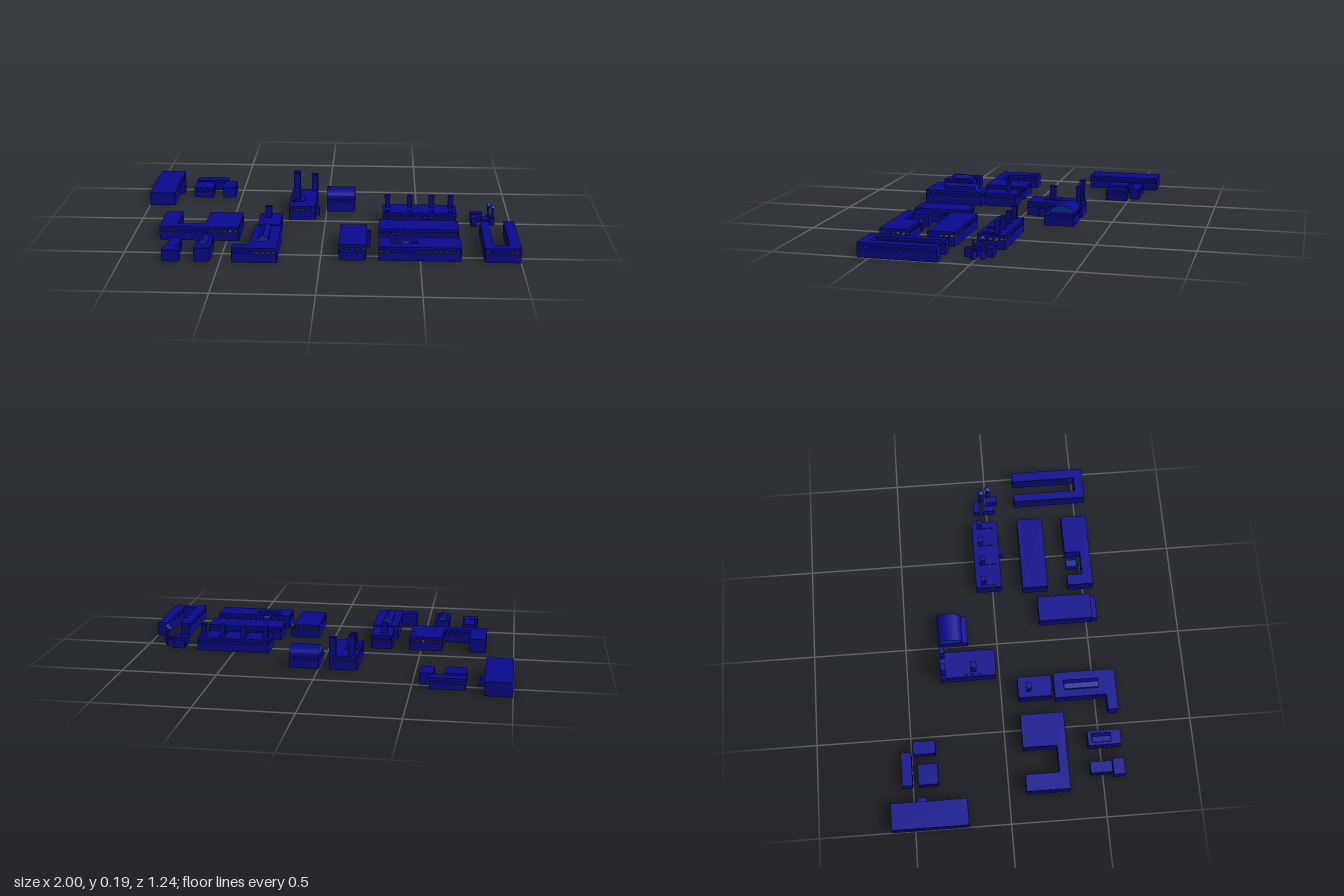
import * as THREE from 'three';
import { mergeGeometries } from 'three/addons/utils/BufferGeometryUtils.js';

const navy = new THREE.MeshStandardMaterial({ color: 0x0a0a90, side: THREE.DoubleSide, flatShading: true });
const blue = new THREE.MeshStandardMaterial({ color: 0x0d33a8, side: THREE.DoubleSide, flatShading: true });

export function createModel() {
  const model = new THREE.Group();

  function add(name, geometry, material = navy) {
    const mesh = new THREE.Mesh(geometry, material);
    mesh.name = name;
    model.add(mesh);
    return mesh;
  }

  // Solid block given by its extents
  function block(name, x0, x1, z0, z1, h, y0 = 0, material = navy) {
    const g = new THREE.BoxGeometry(x1 - x0, h - y0, z1 - z0);
    return add(name, g.translate((x0 + x1) / 2, (y0 + h) / 2, (z0 + z1) / 2), material);
  }

  // One wall with a row of open clerestory windows
  function wall(a, b, h, windowed) {
    const dx = b[0] - a[0], dz = b[1] - a[1], len = Math.hypot(dx, dz);
    const s = new THREE.Shape();
    s.moveTo(0, 0).lineTo(len, 0).lineTo(len, h).lineTo(0, h).closePath();
    if (windowed) {
      const n = Math.max(2, Math.round(len / 0.03)), pitch = len / n, top = h - 0.009;
      for (let i = 0; i < n; i++) {
        const c = (i + 0.5) * pitch, w = pitch * 0.3;
        const p = new THREE.Path();
        p.moveTo(c - w, top - 0.014).lineTo(c - w, top).lineTo(c + w, top).lineTo(c + w, top - 0.014).closePath();
        s.holes.push(p);
      }
    }
    return new THREE.ShapeGeometry(s).rotateY(Math.atan2(-dz, dx)).translate(a[0], 0, a[1]);
  }

  // Hollow hall: walls along a footprint, closed by a roof slab
  function hall(name, points, h, minWindowed = 0.1) {
    const walls = points.map((a, i) => {
      const b = points[(i + 1) % points.length];
      return wall(a, b, h - 0.006, Math.hypot(b[0] - a[0], b[1] - a[1]) >= minWindowed);
    });
    add(name + 'Walls', mergeGeometries(walls));
    const s = new THREE.Shape(points.map(([x, z]) => new THREE.Vector2(x, z)));
    const roof = new THREE.ExtrudeGeometry(s, { depth: 0.007, bevelEnabled: false });
    add(name + 'Roof', roof.rotateX(Math.PI / 2).translate(0, h, 0));
  }

  const rect = (x0, x1, z0, z1) => [[x0, z0], [x1, z0], [x1, z1], [x0, z1]];
  // U footprint, court opening to the back between xa and xb, as deep as zc
  const court = (x0, x1, z0, z1, xa, xb, zc) =>
    [[x0, z0], [xa, z0], [xa, zc], [xb, zc], [xb, z0], [x1, z0], [x1, z1], [x0, z1]];

  // Square chimney with a slim collar
  function chimney(x, z, h, w = 0.03, d = 0.026) {
    block('chimney', x - w / 2, x + w / 2, z - d / 2, z + d / 2, h, 0.06);
    block('chimneyCollar', x - w / 2 - 0.002, x + w / 2 + 0.002, z - d / 2 - 0.002, z + d / 2 + 0.002, h - 0.004, h - 0.01);
  }

  // Gabled roof lantern running along z
  function lantern(name, x0, x1, z0, z1, y0, eave, ridge) {
    const s = new THREE.Shape();
    s.moveTo(x0, y0).lineTo(x1, y0).lineTo(x1, eave).lineTo((x0 + x1) / 2, ridge).lineTo(x0, eave).closePath();
    const g = new THREE.ExtrudeGeometry(s, { depth: z1 - z0, bevelEnabled: false });
    add(name, g.translate(0, 0, z0), [blue, navy]);
  }

  // Rear left-hand corner: warehouse and sheds
  hall('warehouse', rect(-1, -0.86, -0.62, -0.22), 0.073, 0.2);
  block('warehousePorch', -0.86, -0.835, -0.48, -0.43, 0.045);
  hall('longShed', rect(-0.77, -0.59, -0.555, -0.5), 0.06);
  hall('squareShed', rect(-0.77, -0.66, -0.47, -0.365), 0.06);
  hall('sideShed', rect(-0.605, -0.535, -0.49, -0.37), 0.06);

  // Boiler house with three chimneys
  hall('boilerHouse', rect(-0.2, -0.055, -0.32, -0.02), 0.075);
  block('boilerPorch', -0.055, -0.035, -0.13, -0.085, 0.045);
  chimney(-0.172, -0.302, 0.185, 0.036, 0.024);
  chimney(-0.072, -0.302, 0.172, 0.034, 0.024);
  chimney(-0.16, -0.14, 0.15, 0.034, 0.03);
  block('boilerRoofStep', -0.19, -0.12, -0.19, -0.1, 0.08, 0.07);

  // Barrel-roofed hall
  hall('barrelHall', rect(0, 0.155, -0.32, -0.19), 0.075);
  block('barrelHallPorch', 0, 0.155, -0.19, -0.16, 0.055);
  const arch = new THREE.Shape();
  arch.moveTo(-0.065, 0);
  for (let i = 1; i <= 16; i++) {
    const a = Math.PI * (1 - i / 16);
    arch.lineTo(0.065 * Math.cos(a), 0.035 * Math.sin(a));
  }
  const barrel = new THREE.ExtrudeGeometry(arch, { depth: 0.155, bevelEnabled: false });
  add('barrelRoof', barrel.rotateY(Math.PI / 2).translate(0, 0.074, -0.255), [blue, navy]);

  // Furnace hall with four chimneys
  hall('furnaceHall', rect(0.31, 0.705, -0.09, 0.05), 0.073);
  block('furnacePorch', 0.515, 0.565, 0.05, 0.07, 0.045);
  for (const x of [0.336, 0.456, 0.573, 0.677]) {
    chimney(x, -0.048, 0.14, 0.028);
    block('furnaceVent', x - 0.012, x + 0.012, -0.03, 0.03, 0.078, 0.07);
  }

  // Small plant with two capped flues
  block('plantShed', 0.785, 0.85, -0.07, -0.035, 0.045);
  block('plantShed', 0.785, 0.82, -0.02, 0.045, 0.045);
  block('plantShed', 0.84, 0.875, 0, 0.065, 0.045);
  for (const [x, z] of [[0.88, -0.027], [0.9, 0.012]]) {
    add('flueBase', new THREE.CylinderGeometry(0.015, 0.015, 0.04, 16).translate(x, 0.02, z));
    add('flue', new THREE.CylinderGeometry(0.006, 0.006, 0.1, 12).translate(x, 0.05, z));
    add('flueCap', new THREE.ConeGeometry(0.017, 0.014, 16).translate(x, 0.106, z), blue);
  }

  // Right-hand works
  hall('assemblyHall', rect(0.29, 0.705, 0.165, 0.305), 0.075);
  hall('workshop', court(0.29, 0.705, 0.415, 0.555, 0.35, 0.485, 0.5), 0.073);
  block('courtHut', 0.41, 0.445, 0.42, 0.475, 0.05);
  block('courtHutRoof', 0.408, 0.447, 0.418, 0.477, 0.054, 0.05, blue);
  hall('courtyardHall', court(0.82, 1, 0.16, 0.56, 0.865, 0.945, 0.51), 0.075);
  hall('store', rect(0.09, 0.23, 0.24, 0.53), 0.073);
  block('storePorch', 0.095, 0.225, 0.53, 0.56, 0.045);
  block('storeStep', 0.23, 0.25, 0.245, 0.262, 0.045);
  block('storeDoor', 0.23, 0.25, 0.345, 0.375, 0.045);

  // Left-hand works
  hall('mill', court(-0.85, -0.435, 0.09, 0.32, -0.76, -0.615, 0.27), 0.075);
  hall('engineHouse', rect(-0.34, -0.225, 0.09, 0.27), 0.075);
  chimney(-0.293, 0.147, 0.135, 0.034, 0.024);
  hall('lanternHall',
    [[-0.355, 0.285], [-0.215, 0.285], [-0.215, 0.615], [-0.44, 0.615], [-0.44, 0.56], [-0.355, 0.56]], 0.077);
  lantern('roofLantern', -0.315, -0.265, 0.335, 0.52, 0.074, 0.095, 0.11);
  hall('gateHouse', rect(-0.775, -0.715, 0.435, 0.55), 0.06);
  hall('gateHouseFront', rect(-0.79, -0.705, 0.555, 0.615), 0.06);
  hall('smallOffice', rect(-0.63, -0.55, 0.435, 0.61), 0.073);
  lantern('officeSkylight', -0.615, -0.565, 0.455, 0.555, 0.071, 0.078, 0.098);

  return model;
}
